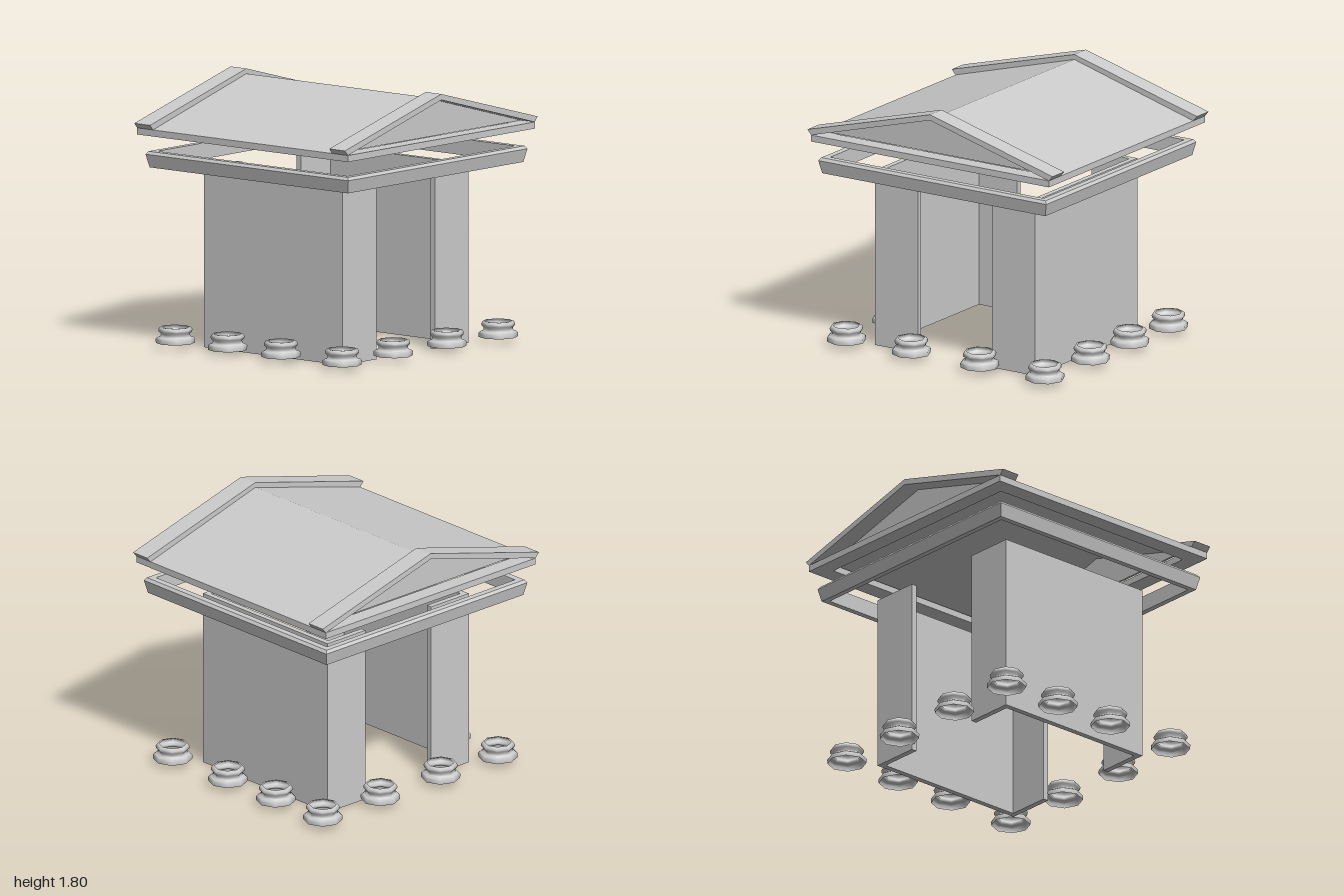
import * as THREE from 'three';
import { toCreasedNormals } from 'three/addons/utils/BufferGeometryUtils.js';

const grey = new THREE.MeshStandardMaterial({ color: 0xcccccc });
const thin = new THREE.MeshStandardMaterial({ color: 0xcccccc, side: THREE.DoubleSide });
const vec = (pts) => pts.map(([x, y]) => new THREE.Vector2(x, y));

function add(parent, name, geometry, material = grey) {
  const mesh = new THREE.Mesh(geometry, material);
  mesh.name = name;
  parent.add(mesh);
  return mesh;
}

// Extrude an x-y outline from z0 to z1
function slab(pts, z0, z1) {
  const g = new THREE.ExtrudeGeometry(new THREE.Shape(vec(pts)), { depth: z1 - z0, bevelEnabled: false });
  return g.translate(0, 0, z0);
}

// Rectangular frame with mitred corners: profile holds [half width in x, y]
function frame(profile, zScale) {
  const pts = vec(profile.map(([x, y]) => [x * Math.SQRT2, y]));
  const g = new THREE.LatheGeometry(pts, 4, Math.PI / 4);
  g.scale(1, 1, zScale);
  return toCreasedNormals(g, 0.1);
}

export function createModel() {
  const model = new THREE.Group();
  model.name = 'temple';

  // Roof: thin panels, end rakes, recessed gable walls and a frame below
  const roof = new THREE.Group();
  roof.name = 'roof';
  model.add(roof);
  add(roof, 'roofPanels', slab([
    [-0.97, 1.5], [-0.9, 1.5], [0, 1.75], [0.9, 1.5], [0.97, 1.5], [0, 1.77],
  ], -0.81, 0.81));
  for (const s of [1, -1]) {
    const end = new THREE.Group();
    end.name = s > 0 ? 'frontGable' : 'backGable';
    if (s < 0) end.rotation.y = Math.PI;
    add(end, 'rake', slab([
      [-0.97, 1.5], [0, 1.765], [0.97, 1.5], [1, 1.535], [0, 1.805], [-1, 1.535],
    ], 0.795, 0.935));
    add(end, 'gableWall', slab([[-0.97, 1.5], [0.97, 1.5], [0, 1.765]], 0.797, 0.812));
    roof.add(end);
  }
  add(roof, 'eavesFrame', frame([
    [0.85, 1.455], [0.97, 1.455], [0.97, 1.5], [0.85, 1.5], [0.85, 1.455],
  ], 0.935 / 0.97));

  // Open cornice floating above the walls
  const cornice = add(model, 'cornice', frame([
    [0.87, 1.23], [0.91, 1.23], [0.93, 1.32], [0.915, 1.34], [0.87, 1.34], [0.87, 1.23],
  ], 0.9 / 0.93));
  cornice.position.set(-0.002, 0, 0.006);

  // Two C-shaped walls, open at front and back
  for (const s of [1, -1]) {
    const t = 0.04, out = 0.653, inn = 0.303, z = 0.615;
    const outline = [
      [out, z], [inn, z], [inn, z - t], [out - t, z - t],
      [out - t, t - z], [inn, t - z], [inn, -z], [out, -z],
    ].map(([x, y]) => [x * s, y]);
    const g = slab(outline, 0, 1.23).rotateX(-Math.PI / 2);
    const wall = add(model, s > 0 ? 'leftWall' : 'rightWall', g);
    wall.position.set(-0.008, 0, 0.01);
  }

  // Hollow eight-sided column bases around the edge
  const base = new THREE.LatheGeometry(vec([
    [0.132, 0.035], [0.134, 0.064], [0.122, 0.074], [0.103, 0.08], [0.098, 0.097],
    [0.113, 0.112], [0.115, 0.128], [0.105, 0.143], [0.09, 0.143],
  ]), 8);
  const xs = [-0.81, -0.28, 0.277, 0.81];
  const zs = [0.747, 0.203, -0.27, -0.733];
  xs.forEach((x, i) => zs.forEach((z, j) => {
    if (i % 3 && j % 3) return;
    add(model, 'columnBase', base, thin).position.set(x, 0, z);
  }));

  return model;
}
